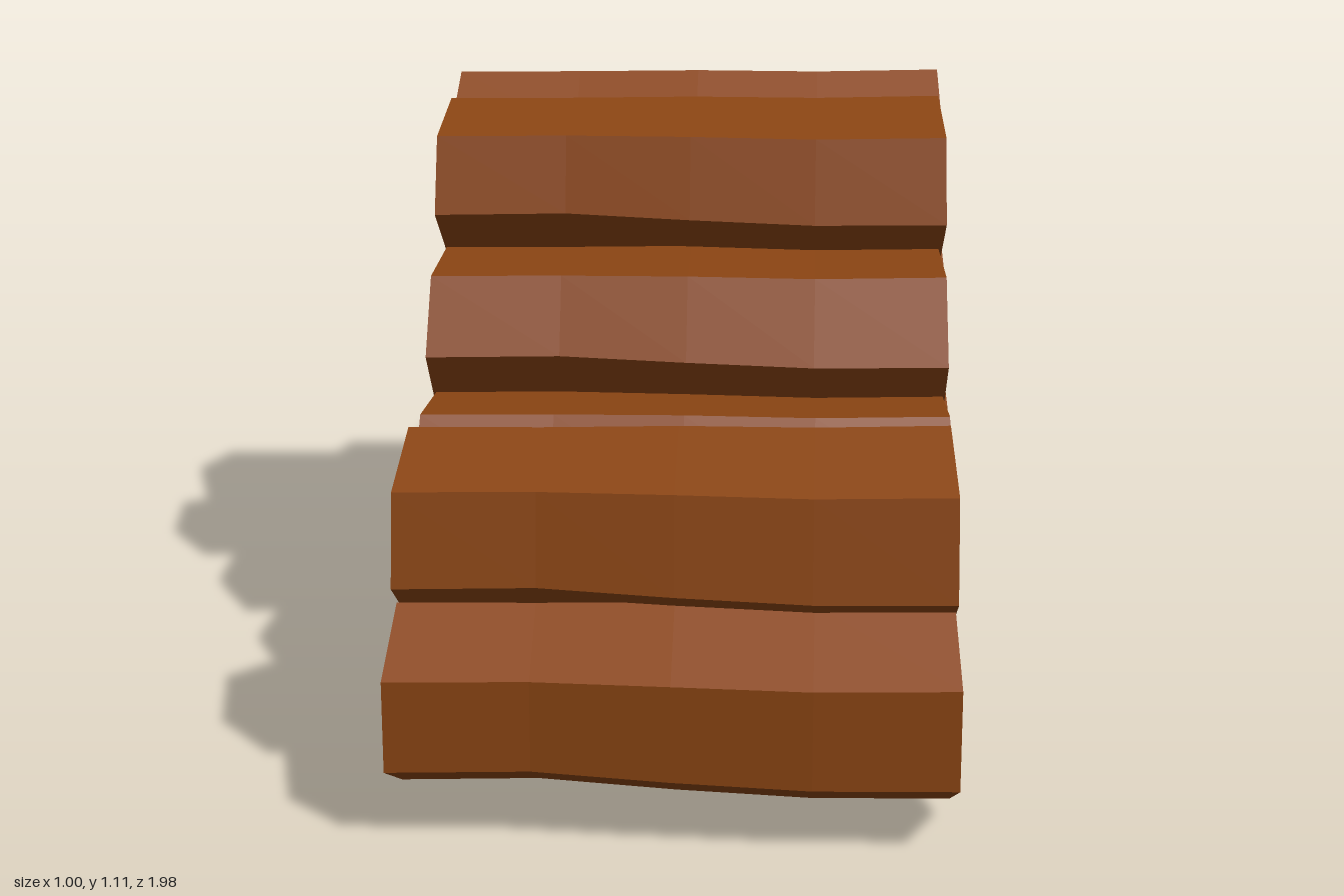
import * as THREE from 'three';

// Log rows from the ground up: [z, y, radius, turn in degrees]
const rows = [
  { half: 0.487, logs: [
    [0.81, 0.235, 0.188, 29], [0.48, 0.205, 0.188, 29], [0.145, 0.2, 0.192, 31],
    [-0.22, 0.185, 0.188, -10], [-0.555, 0.2, 0.174, -2], [-0.845, 0.205, 0.16, -3]] },
  { half: 0.48, logs: [
    [0.68, 0.505, 0.189, 20], [0.37, 0.48, 0.168, -4], [0.08, 0.47, 0.168, 25],
    [-0.23, 0.48, 0.178, 0], [-0.54, 0.49, 0.175, 38]] },
  { half: 0.472, logs: [
    [0.195, 0.705, 0.168, 3], [-0.065, 0.715, 0.152, 30], [-0.35, 0.73, 0.16, 30]] },
  { half: 0.468, logs: [
    [0.045, 0.96, 0.162, 14], [-0.22, 0.95, 0.165, 35]] },
];

// Thickness and sideways drift of the five rings along each log
const girth = [0.91, 0.9, 0.96, 0.99, 1];
const drift = [0, 0.004, 0, -0.004, 0];

// Six-sided log along x with a wavy trunk and slightly slanted ends
function logGeometry(radius, half, turn) {
  const geo = new THREE.CylinderGeometry(radius, radius, half * 2, 6, 4);
  geo.rotateZ(-Math.PI / 2);
  geo.rotateX(THREE.MathUtils.degToRad(turn));
  const p = geo.attributes.position;
  for (let i = 0; i < p.count; i++) {
    const x = p.getX(i), y = p.getY(i), z = p.getZ(i);
    const ring = Math.round((x / half + 1) * 2);
    const slant = ring === 0 || ring === 4 ? Math.sign(x) * 0.012 * z / radius : 0;
    p.setXYZ(i, x + slant, y * girth[ring] + drift[ring], z * girth[ring] - drift[ring]);
  }
  geo.computeVertexNormals();
  return geo;
}

export function createModel() {
  const model = new THREE.Group();
  model.name = 'logPile';
  const wood = new THREE.MeshStandardMaterial({ color: 0x8b4513, flatShading: true });

  rows.forEach(({ half, logs }, r) => {
    const row = new THREE.Group();
    row.name = `logRow${r + 1}`;
    logs.forEach(([z, y, radius, turn], i) => {
      const log = new THREE.Mesh(logGeometry(radius, half, turn), wood);
      log.name = `log${r + 1}_${i + 1}`;
      log.position.set(0, y, z);
      row.add(log);
    });
    model.add(row);
  });
  return model;
}
